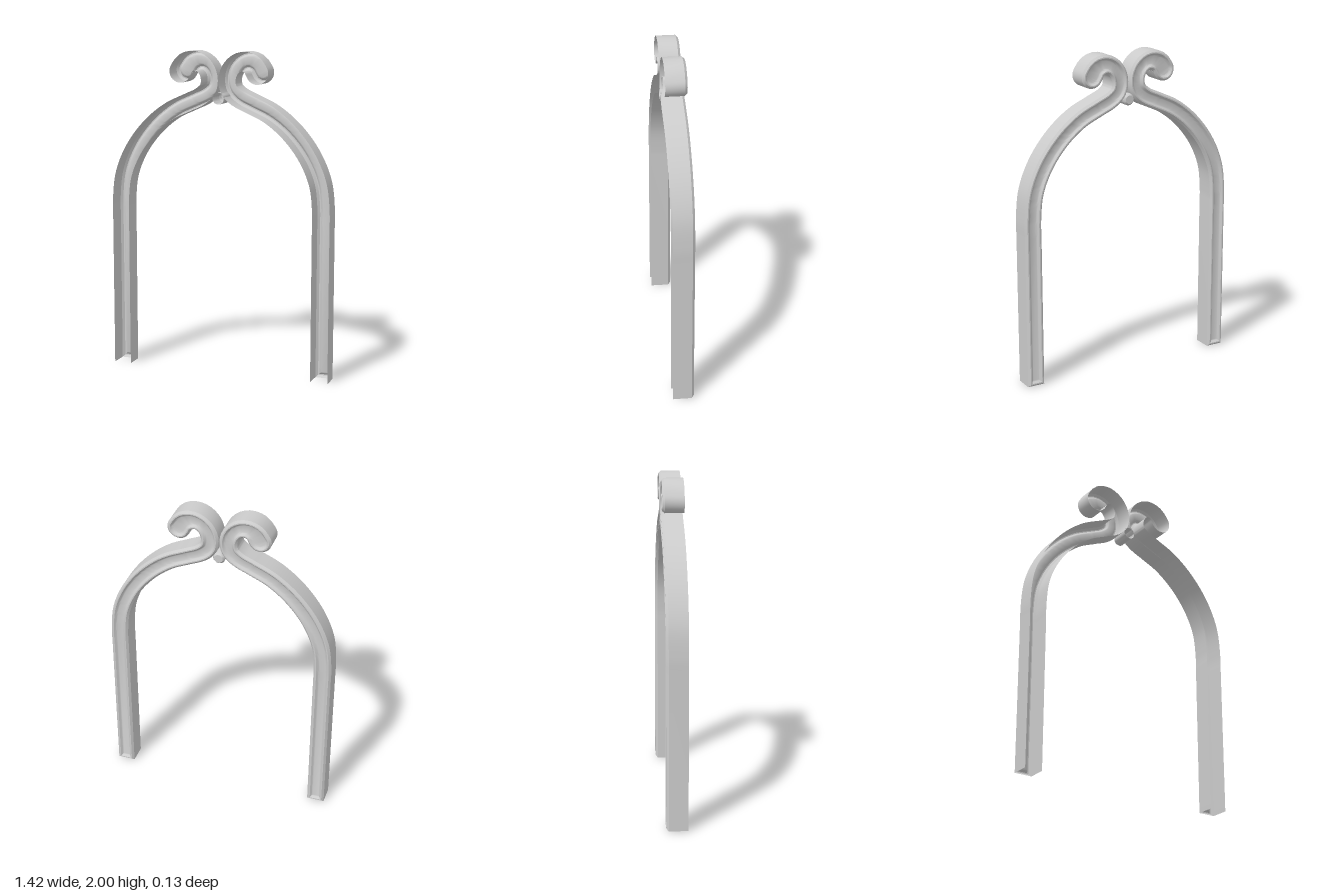
import * as THREE from 'three';
import { toCreasedNormals } from 'three/addons/utils/BufferGeometryUtils.js';

const DEPTH = 0.065; // half depth in z

// Centre line of the left half: leg, arch, neck and scroll
const CURVE = [
  [0.655, 0.95], [0.655, 1.05], [0.635, 1.22], [0.567, 1.38], [0.455, 1.525],
  [0.325, 1.63], [0.2, 1.69], [0.115, 1.73], [0.068, 1.775], [0.057, 1.835],
  [0.075, 1.893], [0.115, 1.933], [0.165, 1.945], [0.217, 1.924], [0.248, 1.879],
].map(([x, y]) => new THREE.Vector3(x, y, 0));

// Cross-section from the open front to the grooved back: [inset, z]
const SECTION = [
  [0, DEPTH], [0, -0.051], [0.013, -DEPTH], [0.02, -DEPTH],
  [0.025, -0.06], [0.03, -0.053], [0.037, -0.05],
];

// Stations along the centre line with tangent and half width
function stations() {
  const curve = new THREE.CatmullRomCurve3(CURVE);
  const list = [{ p: new THREE.Vector3(0.655, 0, 0), t: new THREE.Vector3(0, 1, 0), h: 0.055 }];
  const n = 70;
  for (let i = 0; i <= n; i++) {
    const u = i / n;
    const t = i === 0 ? new THREE.Vector3(0, 1, 0) : curve.getTangentAt(u);
    const h = 0.055 + 0.015 * THREE.MathUtils.smoothstep(u, 0.87, 1);
    list.push({ p: curve.getPointAt(u), t, h });
  }
  return list;
}

// Outline of the half arch, inset by d: up one side, round the scroll end, down the other
function outline(list, d) {
  const side = (s, sign) => [
    s.p.x - s.t.y * sign * (s.h - d),
    s.p.y + s.t.x * sign * (s.h - d),
  ];
  const a = list.map((s) => side(s, 1));
  const b = list.map((s) => side(s, -1));
  a[0][1] = b[0][1] = d;
  const end = list[list.length - 1];
  const cap = [];
  for (let k = 1; k < 16; k++) {
    const ang = (k / 16) * Math.PI, r = end.h - d;
    const c = Math.cos(ang) * r, s = Math.sin(ang) * r;
    cap.push([end.p.x - end.t.y * c + end.t.x * s, end.p.y + end.t.x * c + end.t.y * s]);
  }
  return [...a, ...cap, ...b.reverse()];
}

function halfArchGeometry(mirror) {
  const list = stations();
  const rows = SECTION.map(([d]) => outline(list, d));
  const n = rows[0].length;
  const pos = [], index = [];
  rows.forEach((row, r) => row.forEach(([x, y]) => pos.push(x * mirror, y, SECTION[r][1])));
  const tri = (a, b, c) => (mirror > 0 ? index.push(a, b, c) : index.push(a, c, b));
  for (let r = 0; r < rows.length - 1; r++) {
    // the side walls stay open at the foot, the back rim closes round it
    const count = r === 0 ? n - 1 : n;
    for (let i = 0; i < count; i++) {
      const j = (i + 1) % n, a = r * n, b = a + n;
      tri(a + i, a + j, b + i);
      tri(a + j, b + j, b + i);
    }
  }
  // groove floor
  const base = (rows.length - 1) * n;
  for (let i = 0; i < Math.floor(n / 2); i++) {
    const l0 = base + i, l1 = l0 + 1, r0 = base + n - 1 - i, r1 = r0 - 1;
    if (l1 <= r1) tri(l0, l1, r0);
    if (l1 < r1) tri(l1, r1, r0);
  }
  const geo = new THREE.BufferGeometry();
  geo.setAttribute('position', new THREE.Float32BufferAttribute(pos, 3));
  geo.setIndex(index);
  return toCreasedNormals(geo, 0.7);
}

export function createModel() {
  const group = new THREE.Group();
  group.name = 'scrolledArch';
  const material = new THREE.MeshStandardMaterial({ color: 0xcccccc, side: THREE.DoubleSide });

  // Two mirrored channel halves
  for (const mirror of [1, -1]) {
    const half = new THREE.Mesh(halfArchGeometry(mirror), material);
    half.name = mirror > 0 ? 'leftHalfArch' : 'rightHalfArch';
    group.add(half);
  }

  // Small stud between the necks, open at the front
  const profile = [[0, -DEPTH], [0.026, -DEPTH], [0.037, -0.052], [0.037, DEPTH]]
    .map(([r, z]) => new THREE.Vector2(r, z));
  const studGeo = new THREE.LatheGeometry(profile, 20).rotateX(Math.PI / 2);
  const stud = new THREE.Mesh(toCreasedNormals(studGeo, 0.7), material);
  stud.name = 'centreStud';
  stud.position.y = 1.72;
  group.add(stud);

  return group;
}
